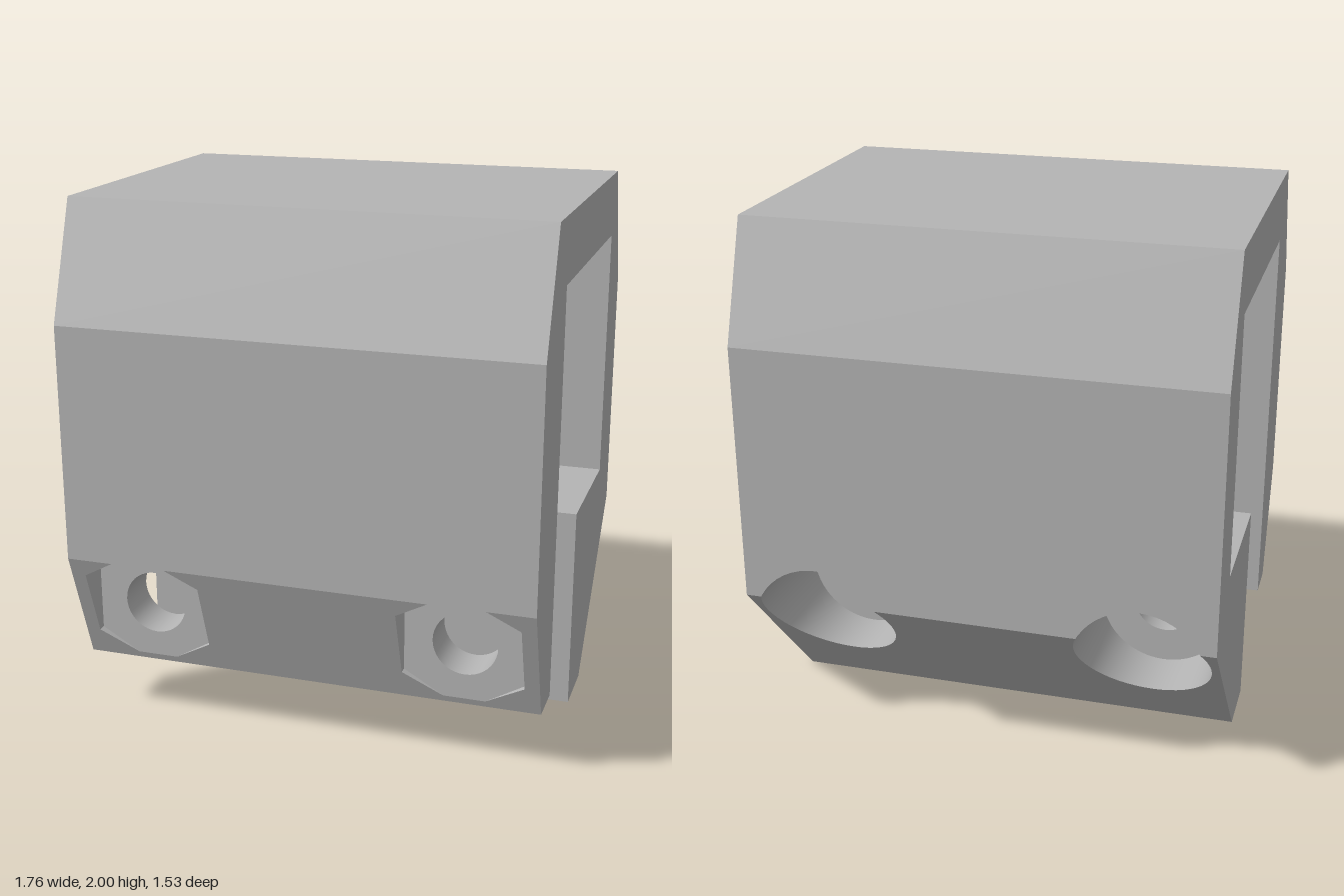
import * as THREE from 'three';

const W = 0.88;            // half width of the clamp
const HOLE_X = 0.6, HOLE_Y = 0.48, BORE = 0.12;
const NECK_Z = -0.2;       // floor of the rear counterbores

// Side profile as [z, y]; drilled edges are built separately
const PROFILE = [
  [0.61, 2], [-0.61, 2], [-0.765, 1.565], [-0.765, 0.595], [-0.215, 0], [0.025, 0], [0.025, 0.79],
  [-0.525, 0.79], [-0.525, 1.76], [0.45, 1.76], [0.45, 0.24], [0.61, 0.24], [0.765, 0.68], [0.765, 1.565],
];
const DRILLED = [2, 3, 5, 9, 11, 12];

// Depth of the outer front and back skins at a height
const frontZ = (y) => (y < 0.68 ? 0.61 + ((y - 0.24) * 0.155) / 0.44 : 0.765);
const backZ = (y) => (y < 0.595 ? -0.215 - (y * 0.55) / 0.595 : -0.765);
const POCKET_Z = frontZ(0.265);

// Right halves of the hole outlines as [half width, y], going up
const HEX = [[0.078, 0.265], [0.225, 0.35], [0.225, 0.61], [0.104, 0.68], [0, 0.74]];
function circleHalf(r, kink) {
  const pts = [];
  for (let i = 0; i <= 24; i++) {
    const a = (i / 24 - 0.5) * Math.PI;
    pts.push([Math.max(0, r * Math.cos(a)), HOLE_Y + r * Math.sin(a)]);
  }
  pts.push([Math.sqrt(r * r - (kink - HOLE_Y) ** 2), kink]);
  return pts.sort((a, b) => a[1] - b[1]);
}
const ROUND = circleHalf(0.25, 0.595);
const fullOutline = (half) => [...half, ...half.slice().reverse().filter((p) => p[0] > 1e-6).map(([w, y]) => [-w, y])];

function geometryFrom(positions, index) {
  const g = new THREE.BufferGeometry();
  g.setAttribute('position', new THREE.Float32BufferAttribute(positions, 3));
  if (index) g.setIndex(index);
  g.computeVertexNormals();
  return g;
}
const quad = (out, a, b, c, d) => out.push(...a, ...b, ...c, ...a, ...c, ...d);

// Outer skin with two holes, built in horizontal rows
function skin(half, zAt, bottom, top, facing) {
  const out = [];
  const band = (x0, x1, x2, x3, y0, y1) => {
    const c = [[x0, y0, zAt(y0)], [x1, y0, zAt(y0)], [x2, y1, zAt(y1)], [x3, y1, zAt(y1)]];
    quad(out, ...(facing > 0 ? c : c.reverse()));
  };
  band(-W, W, W, -W, bottom, half[0][1]);
  band(-W, W, W, -W, half[half.length - 1][1], top);
  for (let i = 0; i < half.length - 1; i++) {
    const [w0, y0] = half[i], [w1, y1] = half[i + 1];
    band(-W, -HOLE_X - w0, -HOLE_X - w1, -W, y0, y1);
    band(-HOLE_X + w0, HOLE_X - w0, HOLE_X - w1, -HOLE_X + w1, y0, y1);
    band(HOLE_X + w0, W, W, HOLE_X + w1, y0, y1);
  }
  return geometryFrom(out);
}

// Wall of a recess, from its flat floor out to the skin
function recessWall(half, floorZ, zAt, smooth) {
  const pts = fullOutline(half), pos = [], index = [], n = pts.length;
  pts.forEach(([x, y]) => pos.push(x, y, floorZ, x, y, zAt(y)));
  for (let i = 0; i < n; i++) {
    const a = 2 * i, b = 2 * ((i + 1) % n);
    index.push(a, a + 1, b + 1, a, b + 1, b);
  }
  const g = geometryFrom(pos, index);
  if (smooth) return g;
  const flat = g.toNonIndexed();
  flat.computeVertexNormals();
  return flat;
}

function boreTube(z0, z1) {
  return new THREE.CylinderGeometry(BORE, BORE, z1 - z0, 40, 1, true)
    .rotateX(Math.PI / 2).translate(0, HOLE_Y, (z0 + z1) / 2);
}

const shapeOf = (pts) => new THREE.Shape(pts.map(([x, y]) => new THREE.Vector2(x, y)));
function punch(shape, x) {
  shape.holes.push(new THREE.Path().absarc(x, HOLE_Y, BORE, 0, Math.PI * 2, true));
  return shape;
}

// Flat inner face with the two bolt holes
function drilledFace(y0, y1, z, facing) {
  const shape = shapeOf([[-W, y0], [W, y0], [W, y1], [-W, y1]]);
  punch(punch(shape, HOLE_X), -HOLE_X);
  const g = new THREE.ShapeGeometry(shape, 20);
  if (facing < 0) g.rotateY(Math.PI);
  return g.translate(0, 0, z);
}

export function createModel() {
  const group = new THREE.Group();
  group.name = 'clampBracket';
  const grey = new THREE.MeshStandardMaterial({ color: 0xb4b4b4, side: THREE.DoubleSide });
  grey.name = 'grey';
  const add = (name, geometry, x = 0) => {
    const mesh = new THREE.Mesh(geometry, grey);
    mesh.name = name;
    mesh.position.x = x;
    group.add(mesh);
  };

  // Plain faces along the profile
  const strips = [];
  PROFILE.forEach(([z0, y0], i) => {
    if (DRILLED.includes(i)) return;
    const [z1, y1] = PROFILE[(i + 1) % PROFILE.length];
    quad(strips, [-W, y0, z0], [W, y0, z0], [W, y1, z1], [-W, y1, z1]);
  });
  add('bodyFaces', geometryFrom(strips));

  // End faces
  for (const s of [-1, 1]) {
    const cap = new THREE.ShapeGeometry(shapeOf(PROFILE.map(([z, y]) => [-s * z, y])));
    add(s > 0 ? 'leftEnd' : 'rightEnd', cap.rotateY((s * Math.PI) / 2), s * W);
  }

  // Drilled faces
  add('frontSkin', skin(HEX, frontZ, 0.24, 1.565, 1));
  add('backSkin', skin(ROUND, backZ, 0, 1.565, -1));
  add('frontWallInside', drilledFace(0.24, 1.76, 0.45, -1));
  add('jawFace', drilledFace(0, 0.79, 0.025, 1));

  // Bolt holes: nut pocket in front, round counterbore behind
  for (const x of [-HOLE_X, HOLE_X]) {
    add('nutPocketWall', recessWall(HEX, POCKET_Z, frontZ, false), x);
    const floor = new THREE.ShapeGeometry(punch(shapeOf(fullOutline(HEX)), 0), 20);
    add('nutPocketFloor', floor.translate(0, 0, POCKET_Z), x);
    add('frontBore', boreTube(0.45, POCKET_Z), x);
    add('counterboreWall', recessWall(ROUND, NECK_Z, backZ, true), x);
    const ring = new THREE.RingGeometry(BORE, 0.25, 48).rotateY(Math.PI);
    add('counterboreFloor', ring.translate(0, HOLE_Y, NECK_Z), x);
    add('rearBore', boreTube(NECK_Z, 0.025), x);
  }

  // Curved ribs in the rear corners of the channel
  const ribHalf = 0.14, r = 0.485, cy = 1.275, reach = Math.acos(0.395 / r);
  for (const s of [-1, 1]) {
    const pts = [[0.525, cy + s * r]];
    for (let i = 0; i <= 12; i++) {
      const a = Math.PI / 2 + (reach - Math.PI / 2) * (i / 12);
      pts.push([0.13 + r * Math.cos(a), cy + s * r * Math.sin(a)]);
    }
    const rib = new THREE.ExtrudeGeometry(shapeOf(pts), { depth: ribHalf * 2, bevelEnabled: false });
    add(s > 0 ? 'upperRib' : 'lowerRib', rib.rotateY(Math.PI / 2), -ribHalf);
  }
  return group;
}
